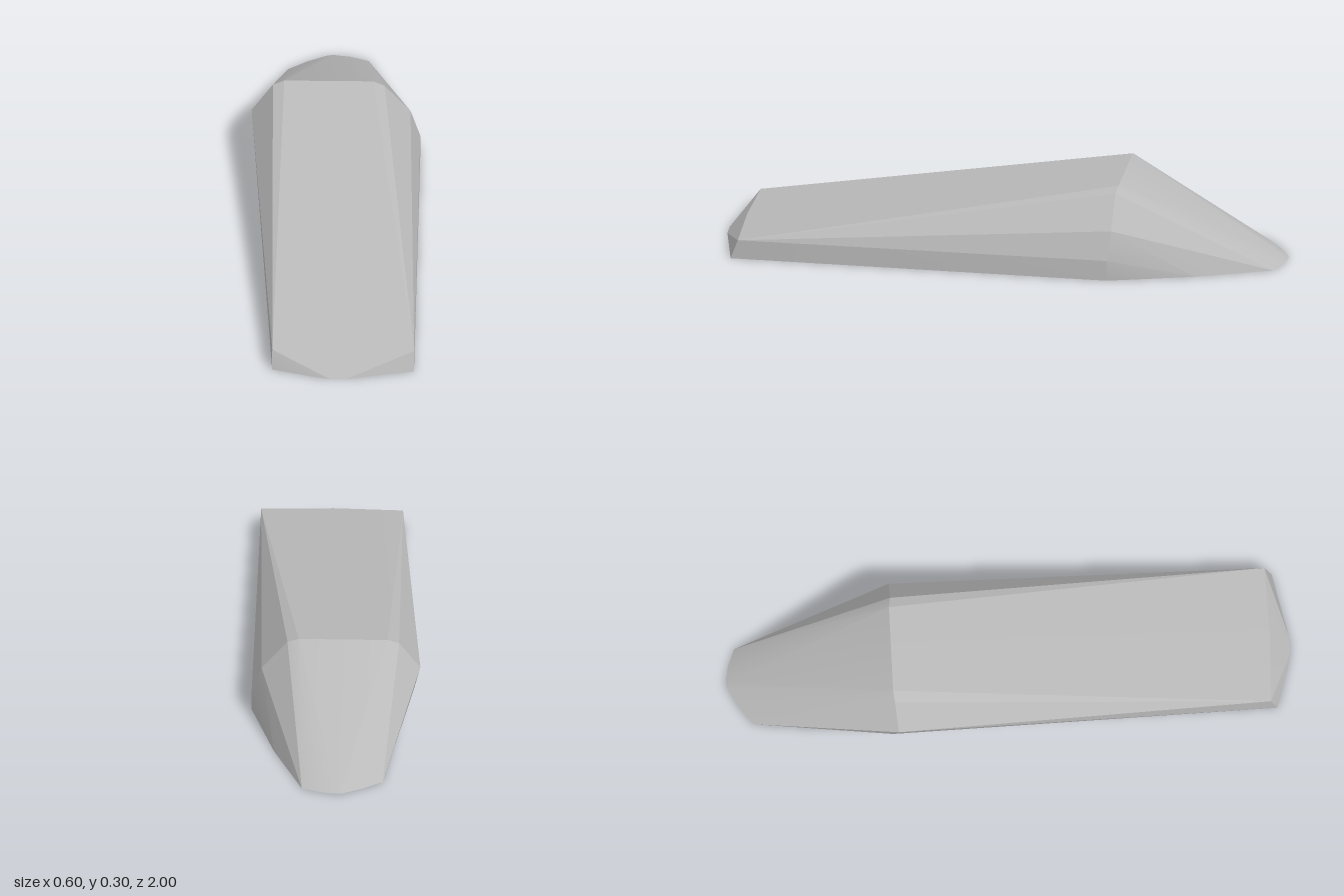
import * as THREE from 'three';
import { ConvexGeometry } from 'three/addons/geometries/ConvexGeometry.js';
import { toCreasedNormals } from 'three/addons/utils/BufferGeometryUtils.js';

export function createModel() {
  const group = new THREE.Group();
  group.name = 'wedge';
  const grey = new THREE.MeshStandardMaterial({ color: 0xbababa });
  grey.name = 'grey';

  // Flat underside outline, x and z
  const base = [
    [-0.205, 0.945], [-0.05, 0.99], [0, 1], [0.06, 0.998], [0.297, 0.948],
    [0.297, -0.4], [0.21, -0.7], [0.105, -0.965], [0.04, -0.99], [-0.02, -1],
    [-0.04, -0.997], [-0.11, -0.96], [-0.18, -0.91], [-0.205, -0.69],
  ].map(([x, z]) => [x, 0, z]);

  // Top edge of the low front lip
  const lip = [[-0.205, 0.07, 0.922], [0.04, 0.071, 0.93], [0.297, 0.07, 0.922]];

  // Widest, highest cross-section, from the left flank over the ridge
  const ridge = [
    [0.297, 0.075, -0.4], [0.262, 0.175, -0.41], [0.17, 0.282, -0.41],
    [0.13, 0.297, -0.415], [-0.185, 0.297, -0.415], [-0.225, 0.282, -0.41],
    [-0.3, 0.18, -0.4], [-0.28, 0.11, -0.42], [-0.26, 0.07, -0.45],
  ];

  const points = [...base, ...lip, ...ridge].map((p) => new THREE.Vector3(...p));
  const body = new THREE.Mesh(toCreasedNormals(new ConvexGeometry(points), 0.3), grey);
  body.name = 'wedgeBody';
  group.add(body);
  return group;
}
